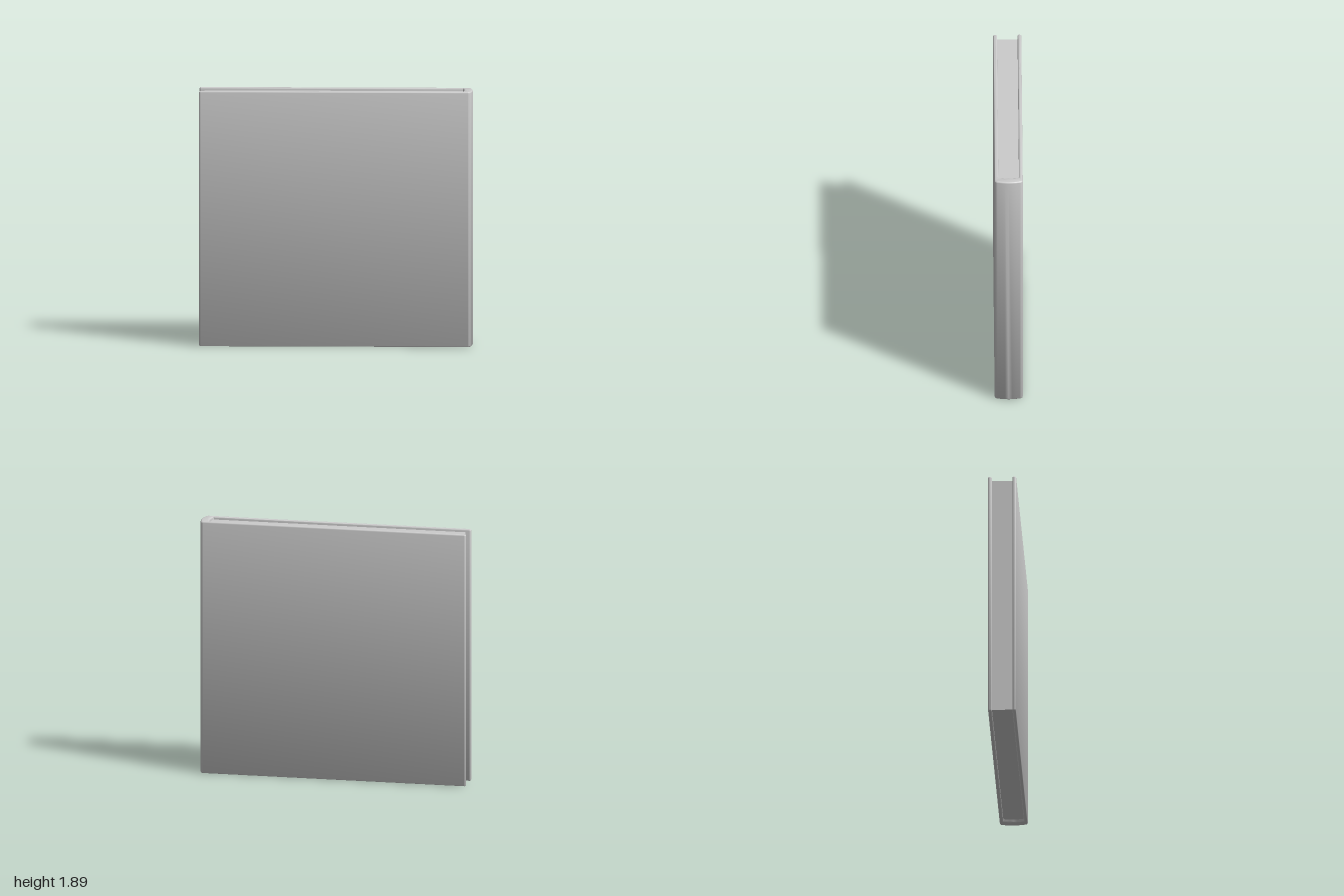
import * as THREE from 'three';
import { toCreasedNormals } from 'three/addons/utils/BufferGeometryUtils.js';

const HEIGHT = 1.89;
const OUT = 0.103;    // half thickness of the book
const IN = 0.075;     // half thickness of the page block
const BEVEL = 0.01;   // rounded rim of the cover
const RECESS = 0.022; // pages sit below the cover rim

// Extrudes a plan-view shape (x, z) upward from y0 to y1
function extrudeUp(shape, y0, y1, bevel) {
  const geometry = new THREE.ExtrudeGeometry(shape, {
    depth: y1 - y0 - 2 * bevel,
    bevelEnabled: bevel > 0,
    bevelSize: bevel,
    bevelThickness: bevel,
    bevelOffset: -bevel,
    bevelSegments: 3,
    curveSegments: 6,
  });
  geometry.rotateX(-Math.PI / 2);
  geometry.translate(0, y0 + bevel, 0);
  return geometry;
}

// U-shaped plan: two boards joined by a bulging spine
function coverShape() {
  const r = 0.011;
  const s = new THREE.Shape();
  s.moveTo(-1 + r, -OUT);
  s.lineTo(0.965, -OUT);
  s.quadraticCurveTo(0.985, -OUT, 0.989, -0.08);
  s.quadraticCurveTo(1.011, 0, 0.989, 0.08);
  s.quadraticCurveTo(0.985, OUT, 0.965, OUT);
  s.lineTo(-1 + r, OUT);
  s.quadraticCurveTo(-1, OUT, -1, OUT - r);
  s.lineTo(-1, IN + r);
  s.quadraticCurveTo(-1, IN, -1 + r, IN);
  s.lineTo(0.925, IN);
  s.quadraticCurveTo(0.945, 0, 0.925, -IN);
  s.lineTo(-1 + r, -IN);
  s.quadraticCurveTo(-1, -IN, -1, -IN - r);
  s.lineTo(-1, -OUT + r);
  s.quadraticCurveTo(-1, -OUT, -1 + r, -OUT);
  return s;
}

// Page block plan, rounded to follow the inside of the spine
function pageShape() {
  const z = IN + 0.001;
  const s = new THREE.Shape();
  s.moveTo(-0.965, -z);
  s.lineTo(0.926, -z);
  s.quadraticCurveTo(0.946, 0, 0.926, z);
  s.lineTo(-0.965, z);
  s.closePath();
  return s;
}

export function createModel() {
  const book = new THREE.Group();
  book.name = 'book';
  const material = new THREE.MeshStandardMaterial({ color: 0xcccccc });

  // Cover with soft edges
  const cover = new THREE.Mesh(
    toCreasedNormals(extrudeUp(coverShape(), 0, HEIGHT, BEVEL), 0.8), material);
  cover.name = 'cover';

  // Pages, crisp-edged and set back on three sides
  const pages = new THREE.Mesh(
    toCreasedNormals(extrudeUp(pageShape(), RECESS, HEIGHT - RECESS, 0), 0.5), material);
  pages.name = 'pageBlock';

  book.add(cover, pages);
  return book;
}
